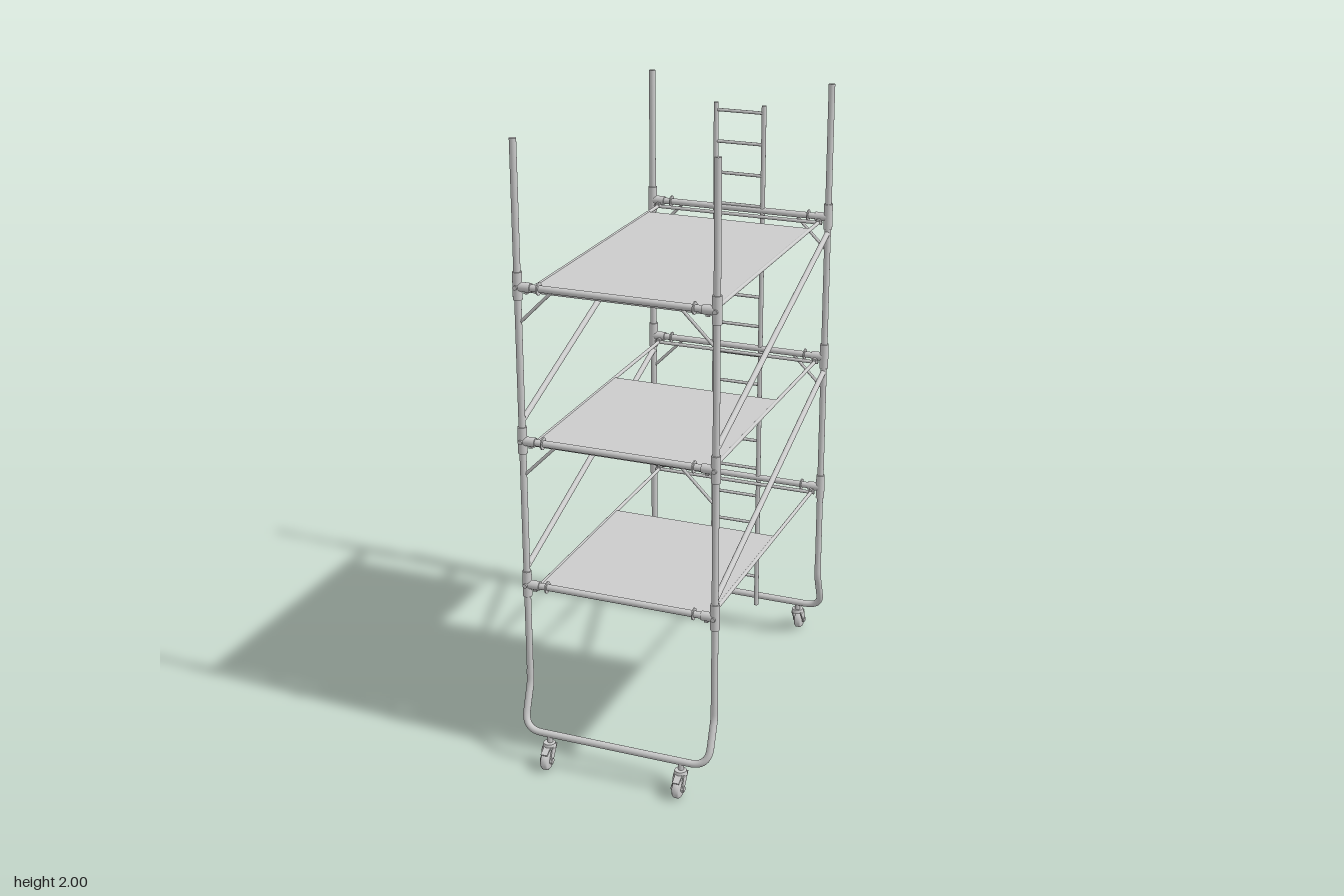
import * as THREE from 'three';

const material = new THREE.MeshStandardMaterial({ color: 0xcccccc });
const V = (x, y, z) => new THREE.Vector3(x, y, z);
const PX = 0.31, PZ = 0.522; // post positions

function add(parent, name, geometry, x = 0, y = 0, z = 0) {
  const mesh = new THREE.Mesh(geometry, material);
  mesh.name = name;
  mesh.position.set(x, y, z);
  parent.add(mesh);
  return mesh;
}

// Round bar between two points
function bar(parent, name, a, b, r, sides = 16) {
  const dir = b.clone().sub(a);
  const mesh = add(parent, name, new THREE.CylinderGeometry(r, r, dir.length(), sides));
  mesh.position.copy(a).add(b).multiplyScalar(0.5);
  mesh.quaternion.setFromUnitVectors(V(0, 1, 0), dir.normalize());
  return mesh;
}

function box(parent, name, w, h, d, x, y, z) {
  return add(parent, name, new THREE.BoxGeometry(w, h, d), x, y, z);
}

// Bent foot: splayed legs joined by a bottom bar with rounded corners
function footFrame(s) {
  const path = new THREE.CurvePath();
  const side = (k) => [
    V(k * PX, 0.3, s * PZ), V(k * PX, 0.27, s * PZ), V(k * PX, 0.25, s * PZ),
    V(k * PX, 0.23, s * 0.53), V(k * PX, 0.165, s * 0.554),
    V(k * PX, 0.11, s * 0.574), V(k * (PX - 0.06), 0.11, s * 0.574),
  ];
  const l = side(-1), r = side(1);
  path.add(new THREE.LineCurve3(l[0], l[1]));
  path.add(new THREE.QuadraticBezierCurve3(l[1], l[2], l[3]));
  path.add(new THREE.LineCurve3(l[3], l[4]));
  path.add(new THREE.QuadraticBezierCurve3(l[4], l[5], l[6]));
  path.add(new THREE.LineCurve3(l[6], r[6]));
  path.add(new THREE.QuadraticBezierCurve3(r[6], r[5], r[4]));
  path.add(new THREE.LineCurve3(r[4], r[3]));
  path.add(new THREE.QuadraticBezierCurve3(r[3], r[2], r[1]));
  path.add(new THREE.LineCurve3(r[1], r[0]));
  return new THREE.TubeGeometry(path, 120, 0.0115, 16);
}

// Swivel caster, trailing towards local +z
function caster() {
  const g = new THREE.Group();
  g.name = 'caster';
  add(g, 'casterStem', new THREE.CylinderGeometry(0.009, 0.009, 0.04, 16), 0, 0.095, 0);
  add(g, 'casterSwivel', new THREE.CylinderGeometry(0.019, 0.022, 0.014, 20), 0, 0.077, 0.004);
  const profile = [[0.008, -0.012], [0.026, -0.012], [0.031, -0.007], [0.031, 0.007], [0.026, 0.012], [0.008, 0.012]];
  const wheel = add(g, 'casterWheel',
    new THREE.LatheGeometry(profile.map((p) => new THREE.Vector2(...p)), 28), 0, 0.031, 0.026);
  wheel.rotation.z = Math.PI / 2;
  bar(g, 'casterAxle', V(-0.021, 0.031, 0.026), V(0.021, 0.031, 0.026), 0.009);
  const plate = new THREE.Shape();
  plate.moveTo(-0.016, 0.075);
  plate.lineTo(0.022, 0.075);
  plate.lineTo(0.037, 0.033);
  plate.quadraticCurveTo(0.034, 0.02, 0.026, 0.02);
  plate.quadraticCurveTo(0.017, 0.02, 0.014, 0.033);
  plate.closePath();
  const plateGeo = new THREE.ExtrudeGeometry(plate, { depth: 0.004, bevelEnabled: false });
  plateGeo.rotateY(-Math.PI / 2);
  for (const x of [-0.014, 0.018]) add(g, 'casterFork', plateGeo, x, 0, 0);
  const pedal = box(g, 'casterBrake', 0.022, 0.005, 0.03, 0, 0.066, 0.034);
  pedal.rotation.x = 0.5;
  return g;
}

// One end of the tower; s is the sign of z
function endFrame(s, levels) {
  const g = new THREE.Group();
  g.name = s > 0 ? 'frontFrame' : 'backFrame';
  add(g, 'footFrame', footFrame(s));
  for (const k of [-1, 1]) {
    bar(g, 'post', V(k * PX, 0.29, s * PZ), V(k * PX, 2, s * PZ), 0.0105);
    const c = caster();
    c.position.set(k * 0.222, 0, s * 0.575);
    if (s < 0) c.rotation.y = Math.PI;
    g.add(c);
  }
  levels.forEach(({ y }, i) => {
    bar(g, 'crossBar', V(-PX, y, s * PZ), V(PX, y, s * PZ), 0.0105);
    for (const k of [-1, 1]) {
      // Post collar, bar socket, ring and locking knob
      bar(g, 'collar', V(k * PX, y - 0.04, s * PZ), V(k * PX, y + 0.045, s * PZ), 0.0145);
      bar(g, 'barSocket', V(k * PX, y, s * PZ), V(k * 0.267, y, s * PZ), 0.0145);
      bar(g, 'barRing', V(k * 0.24, y, s * PZ), V(k * 0.244, y, s * PZ), 0.019);
      bar(g, 'lockKnob', V(k * PX, y, s * PZ), V(k * PX, y, s * (PZ + 0.02)), 0.007);
      // Corner brace under the two upper bars
      if (i > 0) bar(g, 'cornerBrace', V(k * 0.305, y - 0.11, s * PZ), V(k * 0.205, y - 0.01, s * PZ), 0.005, 10);
    }
  });
  return g;
}

// Platform with its rail frame; the deck runs from z = 0.49 back to backZ
function platform({ y, backZ }) {
  const g = new THREE.Group();
  g.name = 'platform';
  const h = y - 0.016;
  box(g, 'deck', 0.56, 0.008, 0.49 - backZ, 0, h, (0.49 + backZ) / 2);
  for (const k of [-1, 1]) {
    bar(g, 'sideRail', V(k * 0.283, h, -0.502), V(k * 0.283, h, 0.502), 0.006, 12);
    bar(g, 'endRail', V(-0.295, h, k * 0.502), V(0.295, h, k * 0.502), 0.006, 12);
    for (const x of [-0.283, 0.283]) box(g, 'railHook', 0.012, 0.016, 0.03, x, h + 0.004, k * 0.511);
  }
  return g;
}

function ladder() {
  const g = new THREE.Group();
  g.name = 'ladder';
  for (const k of [-1, 1]) bar(g, 'ladderStile', V(k * 0.083, 0.1, -0.521), V(k * 0.083, 1.912, -0.521), 0.008, 12);
  for (let i = 0; i < 17; i++) {
    const y = 0.212 + i * 0.1047;
    bar(g, 'ladderRung', V(-0.083, y, -0.521), V(0.083, y, -0.521), 0.0055, 10);
  }
  return g;
}

export function createModel() {
  const model = new THREE.Group();
  model.name = 'scaffoldTower';
  const levels = [
    { y: 0.597, backZ: -0.11 },
    { y: 1.076, backZ: -0.11 },
    { y: 1.561, backZ: -0.413 },
  ];
  model.add(endFrame(1, levels), endFrame(-1, levels), ladder());
  for (const level of levels) model.add(platform(level));
  // Diagonal braces on both sides
  for (const k of [-1, 1]) {
    for (const y of [0.655, 1.14]) {
      bar(model, 'diagonalBrace', V(k * PX, y, 0.518), V(k * PX, y + 0.367, -0.518), 0.009);
    }
  }
  return model;
}
